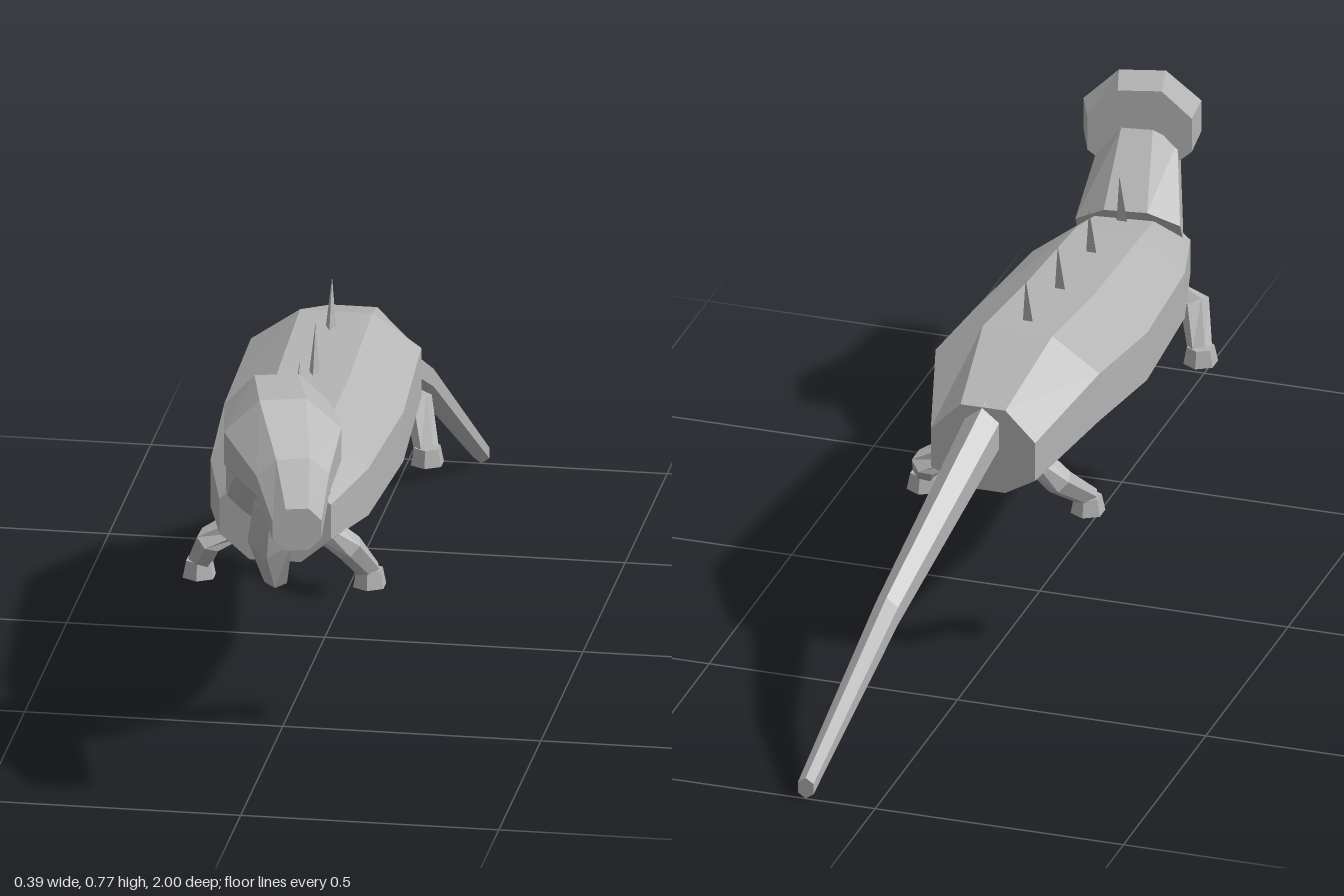
import * as THREE from 'three';

const skin = new THREE.MeshStandardMaterial({ color: 0xb4b4b4, flatShading: true });
const V = (x, y, z) => new THREE.Vector3(x, y, z);

// Closed skin through rings that run counter-clockwise about the travel direction
function loft(rings) {
  const pos = [];
  const tri = (...p) => p.forEach(v => pos.push(v.x, v.y, v.z));
  const n = rings[0].length, last = rings[rings.length - 1];
  for (let r = 0; r < rings.length - 1; r++) {
    const a = rings[r], b = rings[r + 1];
    for (let i = 0; i < n; i++) {
      const j = (i + 1) % n;
      tri(a[i], a[j], b[j]);
      tri(a[i], b[j], b[i]);
    }
  }
  for (let i = 1; i < n - 1; i++) {
    tri(rings[0][0], rings[0][i + 1], rings[0][i]);
    tri(last[0], last[i], last[i + 1]);
  }
  const g = new THREE.BufferGeometry();
  g.setAttribute('position', new THREE.Float32BufferAttribute(pos, 3));
  g.computeVertexNormals();
  return g;
}

// Upright octagon: centre x, z, half width, flat half width, four heights, yaw
function octagon(x, z, w, t, top, yu, yl, bottom, yaw = 0) {
  const c = Math.cos(yaw), s = Math.sin(yaw);
  return [[w, yl], [w, yu], [t, top], [-t, top], [-w, yu], [-w, yl], [-t, bottom], [t, bottom]]
    .map(([d, y]) => V(x + d * c, y, z - d * s));
}

// Elliptical ring facing a direction
function ring(center, dir, rx, ry, n) {
  const T = dir.clone().normalize();
  const R = V(0, 1, 0).cross(T).normalize();
  const U = T.clone().cross(R);
  return Array.from({ length: n }, (_, i) => {
    const a = (i + 0.5) / n * Math.PI * 2;
    return center.clone().addScaledVector(R, Math.cos(a) * rx).addScaledVector(U, Math.sin(a) * ry);
  });
}

export function createModel() {
  const model = new THREE.Group();
  const add = (name, geometry, parent = model) => {
    const m = new THREE.Mesh(geometry, skin);
    m.name = name;
    parent.add(m);
    return m;
  };

  // Torso, rump to chest
  add('body', loft([
    octagon(0, -0.345, 0.105, 0.045, 0.55, 0.49, 0.41, 0.375),
    octagon(0, -0.135, 0.165, 0.07, 0.615, 0.55, 0.45, 0.39),
    octagon(0, 0.13, 0.173, 0.07, 0.585, 0.515, 0.415, 0.34),
    octagon(0, 0.42, 0.153, 0.065, 0.57, 0.505, 0.41, 0.342),
    octagon(0, 0.59, 0.108, 0.05, 0.54, 0.49, 0.42, 0.37),
  ]));

  // Neck rising into the turned head
  const neckDir = V(0.02, 0.1, 0.13);
  add('neck', loft([
    ring(V(0, 0.515, 0.545), neckDir, 0.11, 0.085, 8),
    ring(V(0.02, 0.63, 0.675), neckDir, 0.08, 0.08, 8),
  ]));

  // Head turned to its left, back of skull to snout
  const yaw = 0.27;
  add('head', loft([
    octagon(0.01, 0.637, 0.1, 0.042, 0.767, 0.71, 0.64, 0.592, yaw),
    octagon(0.04, 0.745, 0.113, 0.045, 0.757, 0.695, 0.63, 0.555, yaw),
    octagon(0.075, 0.84, 0.07, 0.032, 0.672, 0.64, 0.6, 0.548, yaw),
    octagon(0.107, 0.986, 0.047, 0.022, 0.625, 0.6, 0.563, 0.541, yaw),
  ]));

  // Throat flap, a thin wedge below the chin; rings travel upward
  const flapRing = (x, y, w, zBack, zFront, drop) => [
    V(x, y - drop, zFront), V(x + w, y, (zBack + zFront) / 2),
    V(x, y + drop, zBack), V(x - w, y, (zBack + zFront) / 2)];
  add('throatFlap', loft([
    flapRing(0.005, 0.335, 0.022, 0.605, 0.625, 0.008),
    flapRing(0, 0.43, 0.043, 0.615, 0.69, 0.02),
    flapRing(0.012, 0.52, 0.038, 0.65, 0.73, 0.015),
    flapRing(0.02, 0.58, 0.03, 0.67, 0.72, 0),
  ]));

  // Tail drooping to the ground
  const tailDir = V(0, 0, -1);
  add('tail', loft([
    ring(V(0, 0.5, -0.335), tailDir, 0.04, 0.055, 6),
    ring(V(0.07, 0.273, -0.72), tailDir, 0.027, 0.036, 6),
    ring(V(0.14, 0.022, -1), tailDir, 0.018, 0.022, 6),
  ]));

  // Four legs: hip, knee, ankle, sole
  for (const side of [1, -1]) {
    for (const [name, hipZ, kneeZ, footZ] of [['front', 0.51, 0.535, 0.48], ['rear', -0.26, -0.285, -0.205]]) {
      const leg = new THREE.Group();
      leg.name = name + (side > 0 ? 'LeftLeg' : 'RightLeg');
      model.add(leg);
      const back = Math.sign(footZ - kneeZ);
      add('limb', loft([
        ring(V(side * 0.07, 0.42, hipZ), V(side, -0.3, 0.01), 0.035, 0.03, 6),
        ring(V(side * 0.135, 0.385, kneeZ), V(side * 0.6, -0.8, back * 0.4), 0.03, 0.028, 6),
        ring(V(side * 0.163, 0.322, footZ), V(side * 0.3, -0.95, back * 0.3), 0.024, 0.024, 6),
      ]), leg);
      const foot = new THREE.CylinderGeometry(0.027, 0.034, 0.034, 6);
      foot.translate(side * 0.165, 0.307, footZ);
      add('foot', foot, leg);
    }
  }

  // Row of back spikes leaning rearward
  for (const [z, y] of [[0.495, 0.55], [0.31, 0.565], [0.12, 0.575], [-0.075, 0.595]]) {
    const s = new THREE.ConeGeometry(0.013, 0.11, 3);
    s.rotateX(-0.2);
    s.translate(0, y + 0.054, z);
    add('backSpike', s);
  }
  return model;
}
